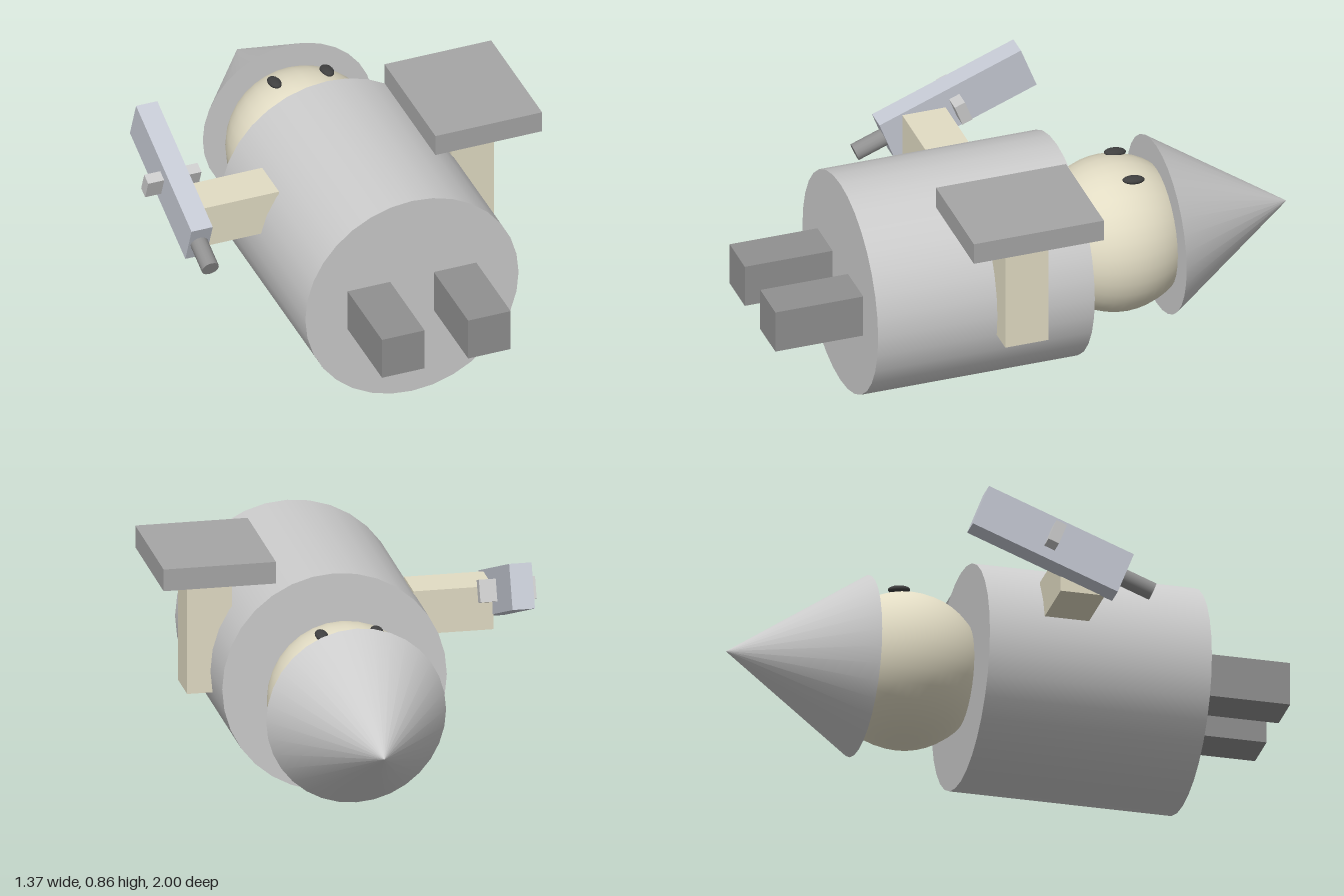
import * as THREE from 'three';

const CX = 0.07, CY = 0.41; // axis of the reclining body
const paint = (color) => new THREE.MeshStandardMaterial({ color });

function part(parent, name, geometry, material, x, y, z) {
  const mesh = new THREE.Mesh(geometry, material);
  mesh.name = name;
  mesh.position.set(x, y, z);
  parent.add(mesh);
  return mesh;
}

export function createModel() {
  const model = new THREE.Group();
  model.name = 'recliningKnight';
  const grey = paint(0xcccccc), skin = paint(0xe2dcc4), dark = paint(0x909090);
  const shieldGrey = paint(0xa6a6a6), steel = paint(0xc6cad4), black = paint(0x404040);
  const box = (w, h, d) => new THREE.BoxGeometry(w, h, d);

  // Torso, head and pointed hat lie along the z axis
  part(model, 'torso', new THREE.CylinderGeometry(0.406, 0.406, 0.812, 32).rotateX(Math.PI / 2), grey, CX, CY, 0.265);
  part(model, 'head', new THREE.SphereGeometry(0.283, 32, 24).rotateX(-Math.PI / 2), skin, CX, CY, -0.35);
  part(model, 'hat', new THREE.ConeGeometry(0.325, 0.487, 32).rotateX(-Math.PI / 2), grey, CX, CY, -0.757);

  // Paired eyes and legs
  for (const [side, s] of [['right', -1], ['left', 1]]) {
    const eye = part(model, side + 'Eye', new THREE.SphereGeometry(1, 16, 12), black, CX + s * 0.1, 0.677, -0.393);
    eye.scale.set(0.023, 0.014, 0.041);
    eye.rotation.x = -0.1;
    part(model, side + 'Leg', box(0.162, 0.162, 0.36), dark, CX + s * 0.164, CY, 0.82);
  }

  // Left arm raised with the shield
  part(model, 'leftArm', box(0.162, 0.45, 0.162), skin, 0.479, 0.555, 0.143);
  part(model, 'shield', box(0.406, 0.081, 0.487), shieldGrey, 0.477, 0.82, 0.14);

  // Right arm held out to the side
  part(model, 'rightArm', box(0.29, 0.162, 0.162), skin, -0.403, 0.575, 0.143);

  // Sword, tilted with its tip up
  const sword = new THREE.Group();
  sword.name = 'sword';
  sword.position.set(-0.585, 0.656, 0.015);
  sword.rotation.x = 0.367;
  model.add(sword);
  part(sword, 'blade', box(0.081, 0.164, 0.568), steel, 0, 0, 0);
  part(sword, 'crossguard', box(0.203, 0.081, 0.041), grey, 0, 0, 0);
  part(sword, 'grip', new THREE.CylinderGeometry(0.032, 0.032, 0.162, 16).rotateX(Math.PI / 2), dark, 0, 0, 0.319);

  return model;
}
